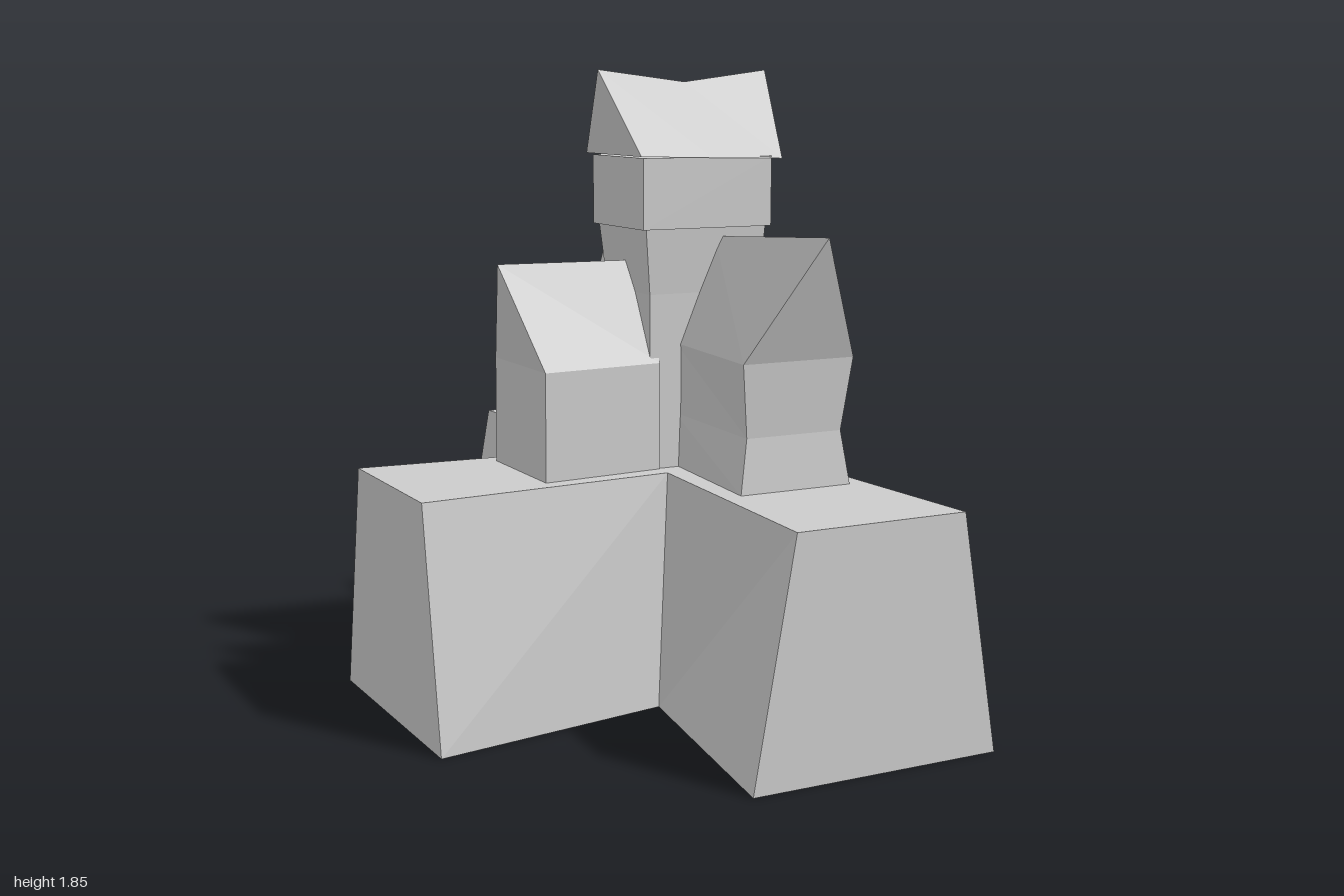
import * as THREE from 'three';

const material = new THREE.MeshStandardMaterial({
  color: 0xcccccc, flatShading: true, side: THREE.DoubleSide,
});

function makeMesh(name, geometry) {
  const mesh = new THREE.Mesh(geometry, material);
  mesh.name = name;
  return mesh;
}

// Joins equal-length loops of [x, y, z] (counter-clockwise seen from the last one)
function loft(loops, capped = true) {
  const n = loops[0].length;
  const index = [];
  for (let s = 0; s < loops.length - 1; s++) {
    for (let i = 0; i < n; i++) {
      const a = s * n + i, b = s * n + (i + 1) % n;
      index.push(a, b, b + n, a, b + n, a + n);
    }
  }
  // Caps run as a ladder, so folds lie level across the end
  const last = (loops.length - 1) * n;
  for (let i = 0, j = n - 1; capped && i + 1 < j; i++, j--) {
    const tris = [[i, i + 1, j]];
    if (i + 1 < j - 1) tris.push([i + 1, j - 1, j]);
    for (const [a, b, c] of tris) index.push(last + a, last + b, last + c, c, b, a);
  }
  const geometry = new THREE.BufferGeometry();
  geometry.setAttribute('position', new THREE.Float32BufferAttribute(loops.flat(2), 3));
  geometry.setIndex(index);
  const flat = geometry.toNonIndexed();
  flat.computeVertexNormals();
  return flat;
}

// Gabled section: rows of [y, halfWidth, z] from the floor up, then ridge [y, z]
function gable(rows, [ridgeY, ridgeZ]) {
  const right = rows.map(([y, w, z]) => [w, y, z]);
  const left = rows.map(([y, w, z]) => [-w, y, z]).reverse();
  return [...right, [0, ridgeY, ridgeZ], ...left];
}

// Level rectangle for upright parts
function rect(y, x0, x1, z) {
  return [[x1, y, z], [x1, y, -z], [x0, y, -z], [x0, y, z]];
}

// Three-armed plinth with sloping sides and an open underside
function createPlinth() {
  const height = 0.685;
  const outline = (half) => [
    ...half, ...half.map(([x, z]) => [x, -z]).reverse(),
  ].reverse();
  const bottom = outline([[0.565, 0.27], [0.685, 1], [-0.08, 1], [0.04, 0.26], [-0.69, 0.38]]);
  const top = outline([[0.52, 0.26], [0.565, 1], [0.04, 1], [0.095, 0.205], [-0.69, 0.26]]);
  const group = new THREE.Group();
  group.name = 'plinth';
  group.add(makeMesh('plinthWalls', loft([
    bottom.map(([x, z]) => [x, 0, z]),
    top.map(([x, z]) => [x, height, z]),
  ], false)));
  const shape = new THREE.Shape(top.map(([x, z]) => new THREE.Vector2(x, -z)));
  const deck = makeMesh('plinthTop', new THREE.ShapeGeometry(shape).rotateX(-Math.PI / 2));
  deck.position.y = height;
  group.add(deck);
  return group;
}

export function createModel() {
  const model = new THREE.Group();
  model.name = 'hilltopCastle';
  model.add(createPlinth());

  // Front house, pinched at the waist with a leaning gable
  const frontHouse = makeMesh('frontHouse', loft([
    gable([[0.685, 0.135, 0.1], [0.84, 0.13, 0.1], [1.05, 0.13, 0.1]], [1.36, 0.1]),
    gable([[0.685, 0.178, 0.57], [0.84, 0.153, 0.555], [1.05, 0.178, 0.575]], [1.4, 0.715]),
  ]));
  frontHouse.position.x = 0.306;
  model.add(frontHouse);

  // Back house, with a dip in its ridge
  const backHouse = makeMesh('backHouse', loft([
    gable([[0.685, 0.133, 0.1], [0.98, 0.133, 0.1]], [1.285, 0.1]),
    gable([[0.685, 0.133, 0.265], [0.98, 0.133, 0.265]], [1.26, 0.265]),
    gable([[0.685, 0.133, 0.5], [0.98, 0.133, 0.525]], [1.32, 0.595]),
  ]));
  backHouse.position.x = 0.298;
  backHouse.rotation.y = Math.PI;
  model.add(backHouse);

  // Side house on the short arm
  const sideHouse = makeMesh('sideHouse', loft([
    gable([[0.685, 0.145, -0.1], [1, 0.145, -0.1]], [1.29, -0.1]),
    gable([[0.685, 0.178, 0.282], [1, 0.178, 0.282]], [1.295, 0.35]),
  ]));
  sideHouse.rotation.y = -Math.PI / 2;
  model.add(sideHouse);

  // Central tower: shaft, wider upper room
  model.add(makeMesh('towerShaft', loft([
    rect(0.685, 0.075, 0.43, 0.138),
    rect(1.2, 0.07, 0.437, 0.138),
    rect(1.39, 0.05, 0.447, 0.152),
  ])));
  model.add(makeMesh('towerRoom', loft([
    rect(1.39, 0.035, 0.46, 0.163),
    rect(1.595, 0.035, 0.46, 0.163),
  ])));

  // Tower roof, running along x with a sagging ridge and flared gables
  const towerRoof = makeMesh('towerRoof', loft([
    gable([[1.6, 0.178, 0.02]], [1.845, -0.03]),
    gable([[1.593, 0.172, 0.255]], [1.81, 0.255]),
    gable([[1.587, 0.165, 0.495]], [1.845, 0.53]),
  ]));
  towerRoof.rotation.y = Math.PI / 2;
  model.add(towerRoof);

  return model;
}
